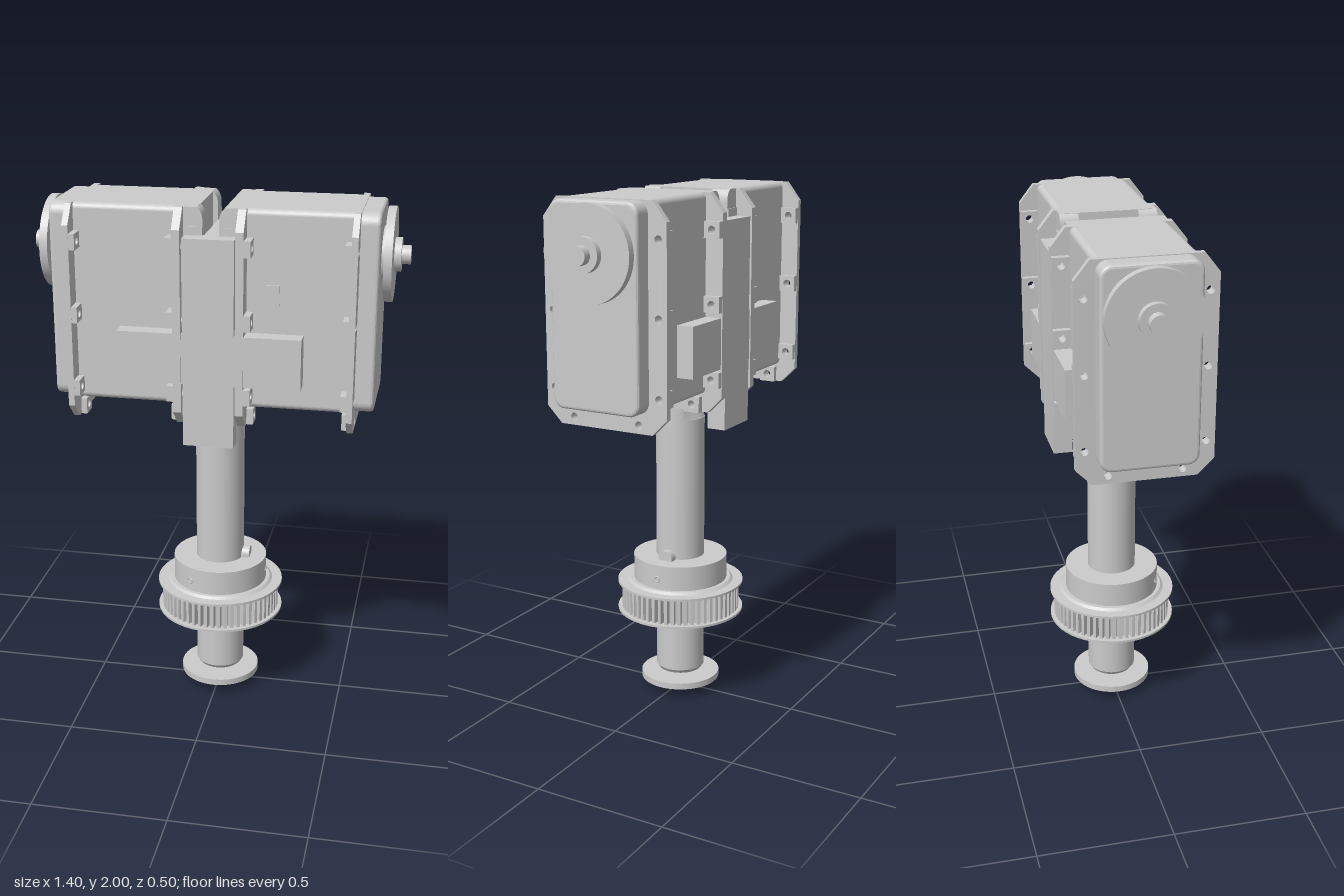
import * as THREE from 'three';

const mat = new THREE.MeshStandardMaterial({ color: 0xcccccc });

function add(parent, name, geo, x = 0, y = 0, z = 0) {
  const m = new THREE.Mesh(geo, mat);
  m.name = name;
  m.position.set(x, y, z);
  parent.add(m);
  return m;
}

// box given by its limits on each axis
const block = (parent, name, x0, x1, y0, y1, z0, z1) =>
  add(parent, name, new THREE.BoxGeometry(x1 - x0, y1 - y0, z1 - z0),
    (x0 + x1) / 2, (y0 + y1) / 2, (z0 + z1) / 2);

// upright cylinder from y0 to y1
const post = (parent, name, y0, y1, r0, r1 = r0, seg = 48) =>
  add(parent, name, new THREE.CylinderGeometry(r1, r0, y1 - y0, seg), 0, (y0 + y1) / 2, 0);

// cylinder along x from x0 to x1
function axle(parent, name, x0, x1, y, r) {
  const g = new THREE.CylinderGeometry(r, r, x1 - x0, 48).rotateZ(Math.PI / 2);
  return add(parent, name, g, (x0 + x1) / 2, y, 0);
}

// outline in the z-y plane, extruded from x0 to x1
function extrudeX(parent, name, shape, x0, x1, opts = {}) {
  const g = new THREE.ExtrudeGeometry(shape, { depth: x1 - x0, bevelEnabled: false, curveSegments: 8, ...opts });
  return add(parent, name, g.rotateY(Math.PI / 2), x0, 0, 0);
}

function roundedRect(w, y0, y1, r) {
  const s = new THREE.Shape();
  s.absarc(w - r, y0 + r, r, -Math.PI / 2, 0);
  s.absarc(w - r, y1 - r, r, 0, Math.PI / 2);
  s.absarc(-w + r, y1 - r, r, Math.PI / 2, Math.PI);
  s.absarc(-w + r, y0 + r, r, Math.PI, Math.PI * 1.5);
  s.closePath();
  return s;
}

const polygon = pts => new THREE.Shape(pts.map(p => new THREE.Vector2(...p)));

function drill(shape, x, y, r) {
  const h = new THREE.Path();
  h.absarc(x, y, r, 0, Math.PI * 2, true);
  shape.holes.push(h);
}

// screw positions on the motor flanges
const screws = [];
for (const s of [-1, 1]) {
  for (const y of [1.32, 1.6, 1.87]) screws.push([s * 0.217, y]);
  screws.push([s * 0.135, 1.22]);
}

// flange plate with chamfered corners, plus drilled bosses on one face
function flange(parent, name, x0, x1, b0, b1) {
  const g = new THREE.Group();
  g.name = name;
  parent.add(g);
  const plate = polygon([[-0.19, 1.19], [0.19, 1.19], [0.25, 1.25], [0.25, 1.93], [0.195, 2],
    [-0.195, 2], [-0.25, 1.93], [-0.25, 1.25]]);
  for (const [z, y] of screws) {
    drill(plate, z, y, 0.015);
    const boss = polygon([[z - 0.032, y - 0.03], [z + 0.032, y - 0.03], [z + 0.032, y + 0.03], [z - 0.032, y + 0.03]]);
    drill(boss, z, y, 0.015);
    extrudeX(g, 'screwBoss', boss, b0, b1);
  }
  extrudeX(g, 'flangePlate', plate, x0, x1);
}

function makeMotor() {
  const motor = new THREE.Group();
  motor.name = 'motor';
  // housing and bevelled outer cover
  extrudeX(motor, 'housing', roundedRect(0.18, 1.26, 2, 0.022), 0.05, 0.53);
  extrudeX(motor, 'outerCover', roundedRect(0.165, 1.275, 1.985, 0.03), 0.53, 0.588,
    { bevelEnabled: true, bevelThickness: 0.012, bevelSize: 0.012, bevelSegments: 3 });
  // lugs with a rounded shoulder on the inner end
  for (const s of [-1, 1]) {
    const lug = new THREE.Shape();
    lug.moveTo(0.03, 1.26);
    lug.lineTo(0.1, 1.26);
    lug.lineTo(0.1, 2);
    lug.lineTo(0.052, 2);
    lug.quadraticCurveTo(0.03, 1.985, 0.03, 1.95);
    lug.closePath();
    add(motor, 'innerLug', new THREE.ExtrudeGeometry(lug, { depth: 0.07, bevelEnabled: false }),
      0, 0, s > 0 ? 0.112 : -0.182);
    block(motor, 'lugStep', 0.03, 0.1, 1.26, 1.93, s * 0.15 - 0.037, s * 0.15 + 0.037);
  }
  flange(motor, 'outerFlange', 0.507, 0.53, 0.485, 0.507);
  flange(motor, 'innerFlange', 0.1, 0.13, 0.13, 0.155);
  block(motor, 'port', 0.2, 0.25, 1.655, 1.73, 0.17, 0.188);
  // output disc, hub and shaft end
  axle(motor, 'outputCollar', 0.59, 0.615, 1.82, 0.1);
  axle(motor, 'outputDisc', 0.612, 0.642, 1.82, 0.172);
  axle(motor, 'outputHub', 0.642, 0.667, 1.82, 0.062);
  axle(motor, 'outputShaft', 0.667, 0.7, 1.82, 0.034);
  return motor;
}

function makePulley() {
  const pulley = new THREE.Group();
  pulley.name = 'beltPulley';
  // toothed rim
  const teeth = 56, rim = new THREE.Shape();
  for (let i = 0; i < teeth; i++) {
    [[0, 0.212], [0.2, 0.234], [0.65, 0.234], [0.85, 0.212]].forEach(([f, r], k) => {
      const a = (i + f) / teeth * Math.PI * 2;
      rim[i + k ? 'lineTo' : 'moveTo'](r * Math.cos(a), r * Math.sin(a));
    });
  }
  rim.closePath();
  const g = new THREE.ExtrudeGeometry(rim, { depth: 0.11, bevelEnabled: false }).rotateX(-Math.PI / 2);
  add(pulley, 'toothedRim', g, 0, 0.345, 0);
  post(pulley, 'lowerRim', 0.338, 0.347, 0.25);
  post(pulley, 'lowerLip', 0.33, 0.338, 0.2, 0.21);
  post(pulley, 'upperRim', 0.452, 0.461, 0.25);
  post(pulley, 'upperLip', 0.461, 0.47, 0.21, 0.2);
  post(pulley, 'hub', 0.465, 0.567, 0.185);
  // set screws, a third of a turn apart
  for (const a of [0, Math.PI * 2 / 3]) {
    const s = new THREE.Group();
    s.name = 'setScrew';
    s.rotation.y = -a;
    pulley.add(s);
    const ring = new THREE.TorusGeometry(0.011, 0.003, 8, 20).rotateY(Math.PI / 2);
    add(s, 'screwRim', ring, 0.184, 0.51, 0);
  }
  return pulley;
}

export function createModel() {
  const model = new THREE.Group();
  model.name = 'twinMotorMast';

  // two motors, back to back
  for (const turn of [0, Math.PI]) {
    const m = makeMotor();
    m.rotation.y = turn;
    model.add(m);
  }

  // clamp bracket: cross-shaped straps front and back, joined by a web
  const bracket = new THREE.Group();
  bracket.name = 'bracket';
  model.add(bracket);
  const cross = polygon([[-0.095, 1.12], [0.095, 1.12], [0.095, 1.36], [0.34, 1.36], [0.34, 1.55],
    [0.095, 1.55], [0.095, 1.9], [-0.095, 1.9], [-0.095, 1.55], [-0.34, 1.55], [-0.34, 1.36], [-0.095, 1.36]]);
  for (const z of [0.172, -0.245])
    add(bracket, 'strap', new THREE.ExtrudeGeometry(cross, { depth: 0.073, bevelEnabled: false }), 0, 0, z);
  block(bracket, 'web', -0.03, 0.03, 1.2, 1.895, -0.18, 0.18);
  block(bracket, 'bridge', -0.095, 0.095, 1.19, 1.26, -0.18, 0.18);

  // mast, flattened front and back at the top
  post(model, 'mast', 0.095, 1.13, 0.095);
  post(model, 'mastChamfer', 0.08, 0.095, 0.085, 0.095);
  const neck = new THREE.CylinderGeometry(0.095, 0.095, 0.07, 48);
  const p = neck.attributes.position;
  for (let i = 0; i < p.count; i++)
    if (p.getY(i) > 0) p.setZ(i, Math.max(-0.06, Math.min(0.06, p.getZ(i))));
  neck.computeVertexNormals();
  add(model, 'mastNeck', neck, 0, 1.16, 0);

  // round-ended key running through the pulley
  extrudeX(model, 'key', roundedRect(0.03, 0.295, 0.605, 0.03), 0.06, 0.122);
  model.add(makePulley());

  // end washer and button screw
  post(model, 'screwShank', 0.03, 0.085, 0.03);
  post(model, 'washer', 0.04, 0.065, 0.156);
  const dome = [[0.028, 0.018], [0.028, 0], [0.04, 0.006], [0.052, 0.018], [0.06, 0.032], [0.06, 0.04]];
  const head = new THREE.LatheGeometry(dome.map(q => new THREE.Vector2(...q)), 36);
  add(model, 'screwHead', head).material = new THREE.MeshStandardMaterial({ color: 0xcccccc, side: THREE.DoubleSide });
  post(model, 'screwSocketFloor', 0.016, 0.035, 0.03, 0.03, 24);
  return model;
}
